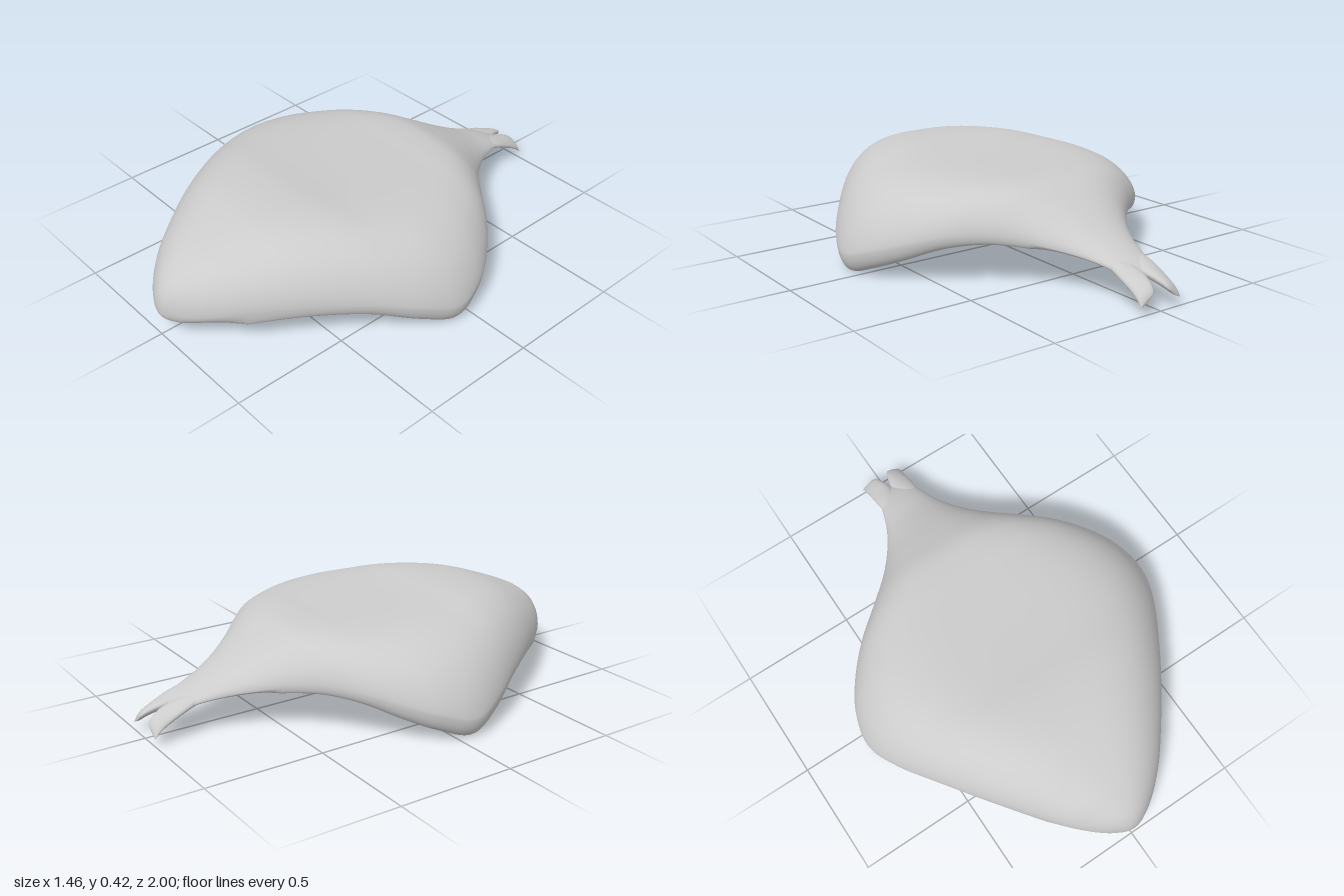
import * as THREE from 'three';

const material = new THREE.MeshStandardMaterial({ color: 0xcccccc, side: THREE.DoubleSide });

// Catmull-Rom blend through rows of section parameters, t in 0..1
function sampleRows(rows, t) {
  const f = t * (rows.length - 1);
  const i = Math.min(Math.floor(f), rows.length - 2);
  const s = f - i;
  const row = k => rows[Math.max(0, Math.min(rows.length - 1, k))];
  return rows[i].map((p1, c) => {
    const p0 = row(i - 1)[c], p2 = row(i + 1)[c], p3 = row(i + 2)[c];
    return p1 + 0.5 * s * (p2 - p0 + s * (2 * p0 - 5 * p1 + 4 * p2 - p3 + s * (3 * (p1 - p2) + p3 - p0)));
  });
}

// Skins closed rings running front to back and caps the back end
function loft(name, rows, steps, ringOf) {
  const positions = [], index = [];
  let n = 0;
  for (let i = 0; i <= steps; i++) {
    const ring = ringOf(sampleRows(rows, i / steps));
    n = ring.length;
    ring.forEach(p => positions.push(...p));
    if (i === steps) {
      const mid = [0, 1, 2].map(c => ring.reduce((sum, p) => sum + p[c], 0) / n);
      positions.push(...mid);
    }
  }
  for (let i = 0; i < steps; i++) {
    for (let j = 0; j < n; j++) {
      const a = i * n + j, b = i * n + (j + 1) % n;
      index.push(a, b, a + n, b, b + n, a + n);
    }
  }
  const last = steps * n;
  for (let j = 0; j < n; j++) index.push(last + n, last + j, last + (j + 1) % n);
  const geometry = new THREE.BufferGeometry();
  geometry.setAttribute('position', new THREE.Float32BufferAttribute(positions, 3));
  geometry.setIndex(index);
  geometry.computeVertexNormals();
  const mesh = new THREE.Mesh(geometry, material);
  mesh.name = name;
  return mesh;
}

// Canopy: z, half width, crown top, crown underside, edge height, rim bottom, squareness
const canopyRows = [
  [1.0, 0.001, 0.124, 0.118, 0.121, 0.118, 2],
  [0.997, 0.025, 0.155, 0.098, 0.122, 0.098, 2],
  [0.983, 0.06, 0.198, 0.081, 0.125, 0.081, 2],
  [0.95, 0.115, 0.245, 0.076, 0.13, 0.075, 2.1],
  [0.89, 0.187, 0.291, 0.1, 0.143, 0.083, 2.2],
  [0.8, 0.272, 0.338, 0.15, 0.16, 0.098, 2.45],
  [0.6, 0.428, 0.403, 0.225, 0.175, 0.122, 3],
  [0.4, 0.567, 0.419, 0.245, 0.158, 0.106, 3.8],
  [0.22, 0.678, 0.404, 0.25, 0.113, 0.045, 4.4],
  [0.07, 0.729, 0.394, 0.25, 0.075, 0.001, 4.7],
  [-0.07, 0.697, 0.387, 0.25, 0.112, 0.043, 4.5],
  [-0.19, 0.62, 0.382, 0.25, 0.152, 0.095, 4.1],
  [-0.3, 0.515, 0.378, 0.245, 0.19, 0.148, 3.6],
  [-0.4, 0.393, 0.364, 0.23, 0.205, 0.17, 3],
  [-0.5, 0.282, 0.32, 0.21, 0.195, 0.165, 2.6],
  [-0.6, 0.2, 0.268, 0.185, 0.175, 0.152, 2.3],
  [-0.7, 0.14, 0.217, 0.157, 0.158, 0.138, 2.2],
  [-0.8, 0.102, 0.176, 0.127, 0.14, 0.122, 2],
  [-0.86, 0.085, 0.148, 0.113, 0.124, 0.108, 2],
  [-0.9, 0.045, 0.122, 0.108, 0.114, 0.106, 2],
];

const HALF = 64;

function canopyRing([z, width, top, under, edge, rim, power]) {
  const ring = [];
  // share of the half width where the rim is lowest
  const rimAt = Math.max(0.2, Math.min(0.94, 0.2 + 1.5 * (power - 2)));
  // domed upper face, left to right
  for (let j = 0; j < HALF; j++) {
    const u = Math.sin((j / HALF - 0.5) * Math.PI);
    const dome = Math.pow(Math.max(0, 1 - Math.pow(Math.abs(u), power)), 0.5 + 0.09 * (power - 2));
    ring.push([width * u, edge + (top - edge) * dome, z]);
  }
  // hollow underside with a rounded rim, right to left
  for (let j = 0; j < HALF; j++) {
    const u = Math.sin((0.5 - j / HALF) * Math.PI);
    const v = Math.abs(u) / rimAt;
    const r = (Math.abs(u) - rimAt) / (1 - rimAt);
    const y = v < 1
      ? rim + (under - rim) * Math.pow(1 - v ** 2.6, 1.5)
      : edge - (edge - rim) * Math.sqrt(Math.max(0, 1 - r * r));
    ring.push([width * u, y, z]);
  }
  return ring;
}

// Tail prong: z, centre x, centre y, half width, half thickness, outward tilt
const prongRows = [
  [-0.78, 0.05, 0.15, 0.042, 0.02, 0],
  [-0.85, 0.05, 0.13, 0.047, 0.023, 0.08],
  [-0.9, 0.05, 0.112, 0.048, 0.023, 0.2],
  [-0.94, 0.054, 0.097, 0.045, 0.021, 0.38],
  [-0.975, 0.061, 0.079, 0.042, 0.017, 0.52],
  [-0.992, 0.066, 0.065, 0.039, 0.012, 0.6],
  [-1.0, 0.071, 0.055, 0.034, 0.004, 0.62],
];

function prongRing([z, cx, cy, a, b, tilt], side) {
  return Array.from({ length: 24 }, (_, j) => {
    const angle = -j / 24 * Math.PI * 2;
    const px = a * Math.cos(angle), py = b * Math.sin(angle), t = -tilt * side;
    return [
      side * cx + px * Math.cos(t) - py * Math.sin(t),
      cy + px * Math.sin(t) + py * Math.cos(t),
      z,
    ];
  });
}

export function createModel() {
  const group = new THREE.Group();
  group.name = 'curvedCanopy';
  group.add(loft('canopy', canopyRows, 152, canopyRing));
  for (const side of [1, -1]) {
    group.add(loft(side > 0 ? 'leftTailProng' : 'rightTailProng', prongRows, 36, row => prongRing(row, side)));
  }
  return group;
}
